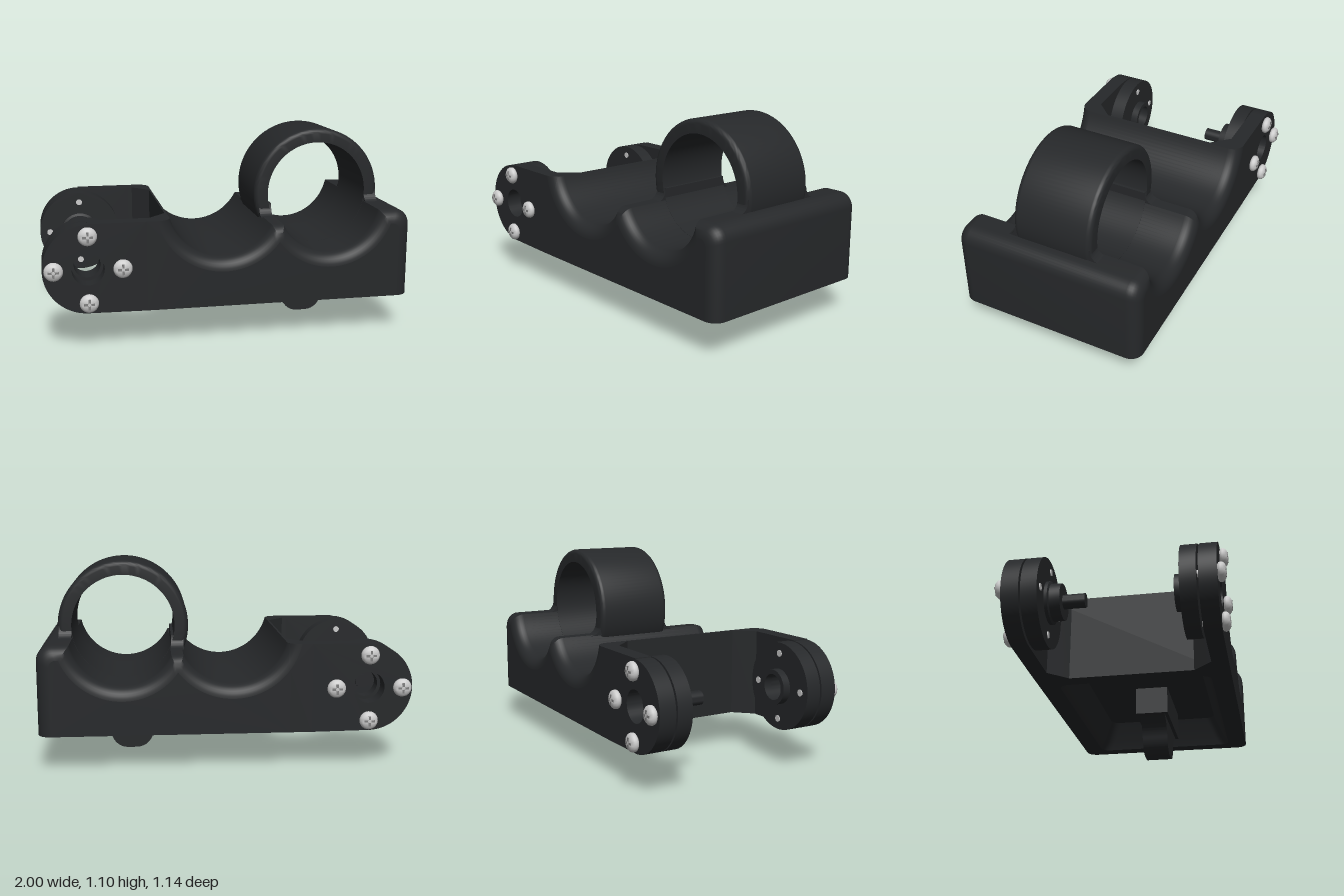
import * as THREE from 'three';
import { toCreasedNormals } from 'three/addons/utils/BufferGeometryUtils.js';

const dark = new THREE.MeshStandardMaterial({ color: 0x26282a });
const steel = new THREE.MeshStandardMaterial({ color: 0xcccccc });
const slotGrey = new THREE.MeshStandardMaterial({ color: 0x808080 });

const HALF = 0.53, ARM_IN = 0.44, WALL = -0.34, BASE = 0.2, TOP = 0.68, FLOOR = 0.36;
const SADDLE = { x: -0.04, y: 0.76, r: 0.3 };
const RING = { x: 0.548, y: 0.74, r: 0.285 };
const PIVOT = { x: -0.765, y: 0.44, r: 0.236 };

function add(parent, name, geo, mat = dark, crease = 0.6) {
  const mesh = new THREE.Mesh(toCreasedNormals(geo, crease), mat);
  mesh.name = name;
  parent.add(mesh);
  return mesh;
}

// Surface through successive loops of 3D points
function skin(loops, closed) {
  const n = loops[0].length, idx = [];
  for (let i = 0; i < loops.length - 1; i++) {
    for (let j = 0; j < (closed ? n : n - 1); j++) {
      const k = (j + 1) % n, a = i * n + j, b = i * n + k;
      idx.push(a, a + n, b, b, a + n, b + n);
    }
  }
  const geo = new THREE.BufferGeometry();
  geo.setAttribute('position', new THREE.Float32BufferAttribute(loops.flat(2), 3));
  geo.setIndex(idx);
  return geo;
}

// Lofts an xy section along z and caps both ends
function loftZ(parent, name, section, zs, closed) {
  add(parent, name, skin(zs.map(z => section(z).map(([x, y]) => [x, y, z])), closed));
  for (const [z, turn] of [[zs[0], true], [zs[zs.length - 1], false]]) {
    const geo = new THREE.ShapeGeometry(new THREE.Shape(section(z).map(p => new THREE.Vector2(...p))));
    if (turn) geo.index.array.reverse();
    add(parent, name + 'End', geo.translate(0, 0, z));
  }
}

function arc(cx, cy, r, a0, a1, n) {
  return Array.from({ length: n + 1 }, (_, i) => {
    const a = a0 + (a1 - a0) * i / n;
    return [cx + r * Math.cos(a), cy + r * Math.sin(a)];
  });
}

// Edge fillet: how far the section shrinks towards the front and back faces
function inset(z) {
  const t = Math.min(1, Math.max(0, (Math.abs(z) - 0.46) / 0.07));
  return 0.07 * (1 - Math.sqrt(1 - t * t));
}
const filletZ = Array.from({ length: 9 }, (_, i) => 0.46 + 0.07 * Math.sin(i / 8 * Math.PI / 2));

// Angle on a trough where it reaches height y; side is -1 left, 1 right
function angleAt(c, r, y, side) {
  const a = Math.asin((y - c.y) / r);
  return side > 0 ? a : -Math.PI - a;
}

function saddleStart(r) {
  return Math.min(TOP, SADDLE.y - Math.sqrt(Math.max(0, r * r - (WALL - SADDLE.x) ** 2)));
}

function bodySection(z) {
  const d = inset(z), r1 = SADDLE.r + d, r2 = RING.r + d;
  const peak = 0.62 - 1.2 * d, top = TOP - d, cr = 0.08 - 0.6 * d, ys = saddleStart(r1);
  return [
    [WALL, BASE], [WALL, ys],
    ...arc(SADDLE.x, SADDLE.y, r1, angleAt(SADDLE, r1, ys, -1), angleAt(SADDLE, r1, peak, 1), 32),
    ...arc(RING.x, RING.y, r2, angleAt(RING, r2, peak, -1), angleAt(RING, r2, top, 1), 36),
    ...arc(1 - d - cr, top - cr, cr, Math.PI / 2, 0, 8),
    [1 - d, BASE],
  ];
}

// Root of an arm, cut by the filleted saddle edge
function armRootSection(z) {
  const r = SADDLE.r + inset(z);
  const cut = arc(SADDLE.x, SADDLE.y, r, angleAt(SADDLE, r, TOP, -1), angleAt(SADDLE, r, saddleStart(r), -1), 8);
  return [[WALL, BASE], [-0.46, BASE], [-0.46, TOP], ...cut.map(([x, y]) => [Math.min(x, WALL + 0.005), y])];
}

function roundedRect(x0, x1, h, rl, rr) {
  const s = new THREE.Shape();
  s.moveTo(x0 + rl, -h).lineTo(x1 - rr, -h).quadraticCurveTo(x1, -h, x1, -h + rr);
  s.lineTo(x1, h - rr).quadraticCurveTo(x1, h, x1 - rr, h);
  s.lineTo(x0 + rl, h).quadraticCurveTo(x0, h, x0, h - rl);
  s.lineTo(x0, -h + rl).quadraticCurveTo(x0, -h, x0 + rl, -h);
  return s;
}

function extrude(shape, depth) {
  return new THREE.ExtrudeGeometry(shape, { depth, bevelEnabled: false, curveSegments: 32 });
}

function circlePath(x, y, r) {
  return new THREE.Path().absarc(x, y, r, 0, Math.PI * 2, true);
}

// Lathe whose profile is [radius, z]
function latheZ(profile, seg = 40) {
  return new THREE.LatheGeometry(profile.map(p => new THREE.Vector2(...p)), seg).rotateX(Math.PI / 2);
}

function makeScrew() {
  const g = new THREE.Group();
  g.name = 'screw';
  add(g, 'screwHead', latheZ([[0.04, 0], [0.048, 0.006], [0.05, 0.015], [0.047, 0.026], [0.036, 0.036], [0.018, 0.041], [0, 0.042]], 24), steel, 1);
  for (const turn of [0, Math.PI / 2]) {
    add(g, 'crossSlot', new THREE.BoxGeometry(0.056, 0.012, 0.02).rotateZ(turn).translate(0, 0, 0.0315), slotGrey);
  }
  add(g, 'screwShaft', new THREE.CylinderGeometry(0.018, 0.018, 0.188, 16).rotateX(Math.PI / 2).translate(0, 0, -0.094), steel);
  return g;
}

export function createModel() {
  const model = new THREE.Group();

  // Block with two troughs
  loftZ(model, 'body', bodySection, [...filletZ.map(z => -z).reverse(), ...filletZ], false);

  // Underside rim and tapered recess
  const opening = [[FLOOR, -0.16, 0.84, 0.34], [0.25, -0.21, 0.9, 0.39], [BASE, -0.25, 0.92, 0.42]]
    .map(([y, a, b, h]) => ({ y, shape: roundedRect(a, b, h, 0.06, 0.06) }));
  const rim = roundedRect(WALL, 1, HALF, 0.001, 0.07);
  rim.holes.push(new THREE.Path(opening[2].shape.getPoints(8)));
  add(model, 'bottomRim', new THREE.ShapeGeometry(rim).rotateX(Math.PI / 2).translate(0, BASE, 0));
  add(model, 'recessWalls', skin(opening.map(o => o.shape.getPoints(8).map(p => [p.x, o.y, p.y])), true));
  add(model, 'recessFloor', new THREE.ShapeGeometry(opening[0].shape).rotateX(Math.PI / 2).translate(0, FLOOR, 0));

  // Hanging foot with flared root
  const foot = new THREE.Shape();
  foot.moveTo(0.26, 0.38).lineTo(0.26, 0.2).quadraticCurveTo(0.36, 0.18, 0.385, 0.09);
  foot.quadraticCurveTo(0.41, 0, 0.49, 0).lineTo(0.53, 0).quadraticCurveTo(0.61, 0, 0.635, 0.09);
  foot.quadraticCurveTo(0.66, 0.18, 0.76, 0.2).lineTo(0.76, 0.38);
  add(model, 'foot', extrude(foot, 0.15).translate(0, 0, -0.06));
  add(model, 'footPlate', new THREE.BoxGeometry(0.5, 0.18, 0.19).translate(0.51, 0.29, 0.015));

  // Holding ring with rounded outer edges
  const R = 0.36, b = 0.028;
  const outer = [...arc(R - b, -0.222 + b, b, -Math.PI / 2, 0, 6), ...arc(R - b, 0.222 - b, b, 0, Math.PI / 2, 6)];
  const ring = latheZ([[0.284, -0.222], ...outer, [0.284, 0.222], [0.284, -0.222]], 96);
  add(model, 'holdingRing', ring.translate(RING.x, RING.y, 0));

  // Front and back sides: fillets, arms, gussets, pivot discs, screws
  for (const s of [1, -1]) {
    for (const [x, y] of [[0.832, 0.675], [0.215, 0.615]]) {
      const f = new THREE.Shape();
      f.moveTo(0, 0).lineTo(0.28 * s, 0).quadraticCurveTo(0.222 * s, 0.005, 0.215 * s, 0.07).lineTo(0, 0.07);
      const geo = extrude(f, 0.07).rotateY(-Math.PI / 2).translate(x + 0.07, y, 0);
      add(model, 'ringFillet', geo);
    }

    const arm = new THREE.Shape();
    arm.moveTo(-0.46, BASE).lineTo(-0.46, TOP).lineTo(PIVOT.x, TOP);
    arm.absarc(PIVOT.x, PIVOT.y, PIVOT.r, Math.PI / 2, Math.PI * 1.5, false).lineTo(-0.46, BASE);
    arm.holes.push(circlePath(PIVOT.x, PIVOT.y, 0.085));
    add(model, 'arm', extrude(arm, HALF - ARM_IN).translate(0, 0, s > 0 ? ARM_IN : -HALF));
    const zs = [ARM_IN, ...filletZ];
    loftZ(model, 'armRoot', armRootSection, s > 0 ? zs : zs.map(z => -z).reverse(), true);

    const gusset = new THREE.Shape([[-0.44, 0.445], [WALL + 0.01, 0.445], [WALL + 0.01, 0.33], [WALL, 0.34]]
      .map(([x, z]) => new THREE.Vector2(x, z * s)));
    add(model, 'gusset', extrude(gusset, TOP - BASE).rotateX(Math.PI / 2).translate(0, TOP, 0));

    const side = new THREE.Group();
    side.name = s > 0 ? 'frontPivot' : 'backPivot';
    side.position.set(PIVOT.x, PIVOT.y, 0);
    if (s < 0) side.rotation.y = Math.PI;
    model.add(side);
    const disc = new THREE.Shape().absarc(0, 0, PIVOT.r, 0, Math.PI * 2, false);
    disc.holes.push(circlePath(0, 0, 0.07));
    add(side, 'pivotDisc', extrude(disc, 0.083).translate(0, 0, 0.347));
    if (s > 0) {
      add(side, 'hub', latheZ([[0.07, 0.305], [0.095, 0.305], [0.095, 0.35], [0.07, 0.35], [0.07, 0.305]].reverse()).scale(1, 1, 1)).material = hubMaterial;
    } else {
      add(side, 'hub', latheZ([[0, 0.27], [0.095, 0.27], [0.098, 0.325], [0.112, 0.33], [0.112, 0.35], [0.07, 0.35], [0.07, 0.36], [0, 0.36]]));
      add(side, 'pin', new THREE.CylinderGeometry(0.037, 0.037, 0.22, 24).rotateX(Math.PI / 2).translate(0, 0, 0.265));
    }
    for (let i = 0; i < 4; i++) {
      const screw = makeScrew(), a = i * Math.PI / 2;
      screw.position.set(0.178 * Math.cos(a), 0.178 * Math.sin(a), HALF);
      side.add(screw);
    }
  }
  return model;
}

const hubMaterial = new THREE.MeshStandardMaterial({ color: 0x26282a, side: THREE.DoubleSide });
